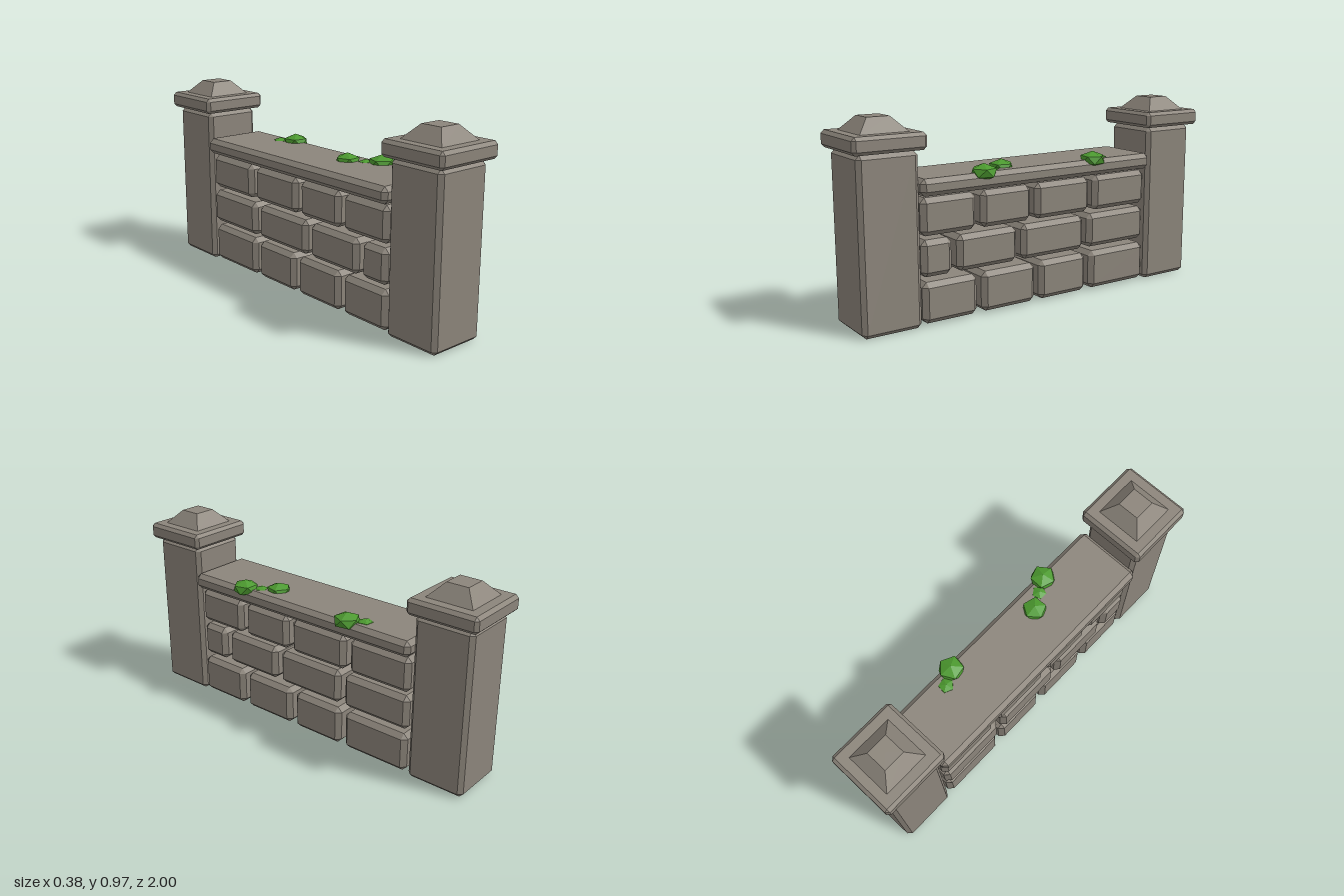
import * as THREE from 'three';
import { ConvexGeometry } from 'three/addons/geometries/ConvexGeometry.js';

const CX = -0.015; // centre line of the masonry

// Box with flat chamfers on all edges and corners
function chamferBox(w, h, d, c) {
  const half = [w / 2, h / 2, d / 2];
  const pts = [];
  for (const sx of [-1, 1]) for (const sy of [-1, 1]) for (const sz of [-1, 1]) {
    for (let axis = 0; axis < 3; axis++) {
      const p = half.map((v, i) => (i === axis ? v : v - c));
      pts.push(new THREE.Vector3(p[0] * sx, p[1] * sy, p[2] * sz));
    }
  }
  return new ConvexGeometry(pts);
}

export function createModel() {
  const model = new THREE.Group();
  const stone = new THREE.MeshStandardMaterial({ color: 0x8c857b, flatShading: true });
  stone.name = 'stone';
  const leaf = new THREE.MeshStandardMaterial({ color: 0x4c9a2f, flatShading: true });
  leaf.name = 'leafGreen';

  const add = (parent, name, geometry, material, x, y, z) => {
    const mesh = new THREE.Mesh(geometry, material);
    mesh.name = name;
    mesh.position.set(x, y, z);
    parent.add(mesh);
    return mesh;
  };

  // End pillars with slab cap and truncated pyramid on top
  for (const [name, side] of [['frontPillar', 1], ['backPillar', -1]]) {
    const pillar = new THREE.Group();
    pillar.name = name;
    pillar.position.set(CX, 0, side * 0.822);
    add(pillar, 'pillarShaft', chamferBox(0.295, 0.82, 0.295, 0.02), stone, 0, 0.41, 0);
    add(pillar, 'pillarCap', chamferBox(0.358, 0.08, 0.356, 0.016), stone, 0, 0.863, 0);
    const peak = new THREE.CylinderGeometry(0.055 * Math.SQRT2, 0.12 * Math.SQRT2, 0.07, 4);
    peak.rotateY(Math.PI / 4);
    add(pillar, 'capPyramid', peak, stone, 0, 0.935, 0);
    model.add(pillar);
  }

  // Three courses of bricks: height range, depth offset, then z ranges
  const courses = [
    { y: [0.01, 0.207], x: 0.003, z: [[0.667, 0.378], [0.351, 0.046], [0.019, -0.271], [-0.298, -0.66]] },
    { y: [0.23, 0.404], x: -0.003, z: [[0.667, 0.507], [0.48, 0.147], [0.12, -0.26], [-0.287, -0.66]] },
    { y: [0.423, 0.6], x: 0, z: [[0.667, 0.378], [0.351, 0.067], [0.04, -0.292], [-0.319, -0.66]] },
  ];
  const bricks = new THREE.Group();
  bricks.name = 'brickCourses';
  for (const { y, x, z } of courses) {
    for (const [z1, z0] of z) {
      add(bricks, 'brick', chamferBox(0.292, y[1] - y[0], z1 - z0, 0.024), stone,
        CX + x, (y[0] + y[1]) / 2, (z0 + z1) / 2);
    }
  }
  model.add(bricks);

  // Coping slab
  add(model, 'coping', chamferBox(0.346, 0.08, 1.346, 0.022), stone, CX, 0.651, 0.005);

  // Flattened moss clumps: x, y, z, radius, half height, turn
  const clumps = [
    [0.128, 0.69, 0.34, 0.068, 0.042, 0.3],
    [0.045, 0.688, 0.19, 0.065, 0.04, 1.0],
    [0.088, 0.682, 0.27, 0.04, 0.022, 0.6],
    [0.126, 0.69, -0.305, 0.068, 0.042, 0.8],
    [0.085, 0.682, -0.38, 0.042, 0.024, 0.2],
  ];
  for (const [x, y, z, r, h, turn] of clumps) {
    const geo = new THREE.IcosahedronGeometry(1, 0);
    geo.rotateZ(0.55); // a corner points up
    const clump = add(model, 'mossClump', geo, leaf, x, y, z);
    clump.scale.set(r, h, r);
    clump.rotation.y = turn;
  }
  return model;
}
